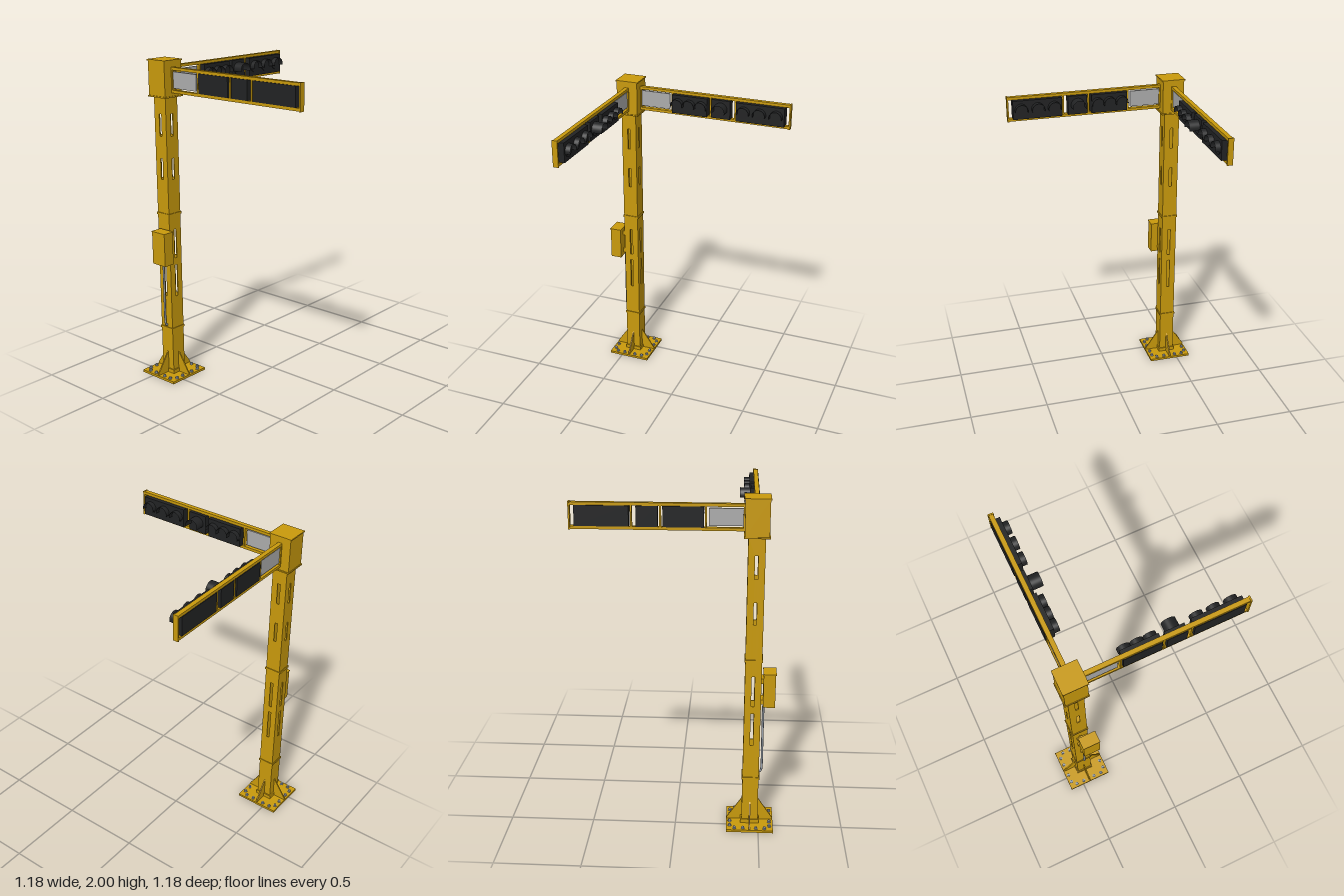
import * as THREE from 'three';

const mat = (name, color, side = THREE.FrontSide) => {
  const m = new THREE.MeshStandardMaterial({ color, side });
  m.name = name;
  return m;
};

export function createModel() {
  const yellow = mat('yellow paint', 0xc99a0c);
  const black = mat('black housing', 0x222324, THREE.DoubleSide);
  const grey = mat('grey panel', 0xacacac);
  const steel = mat('steel', 0x9aa2ac);

  const add = (parent, name, geo, material, x = 0, y = 0, z = 0) => {
    const m = new THREE.Mesh(geo, material);
    m.name = name;
    m.position.set(x, y, z);
    parent.add(m);
    return m;
  };
  const box = (parent, name, material, w, h, d, x, y, z) =>
    add(parent, name, new THREE.BoxGeometry(w, h, d), material, x, y, z);

  const model = new THREE.Group();
  model.name = 'trafficSignalPole';
  // everything is built around the pole axis
  const pole = new THREE.Group();
  pole.name = 'poleAssembly';
  pole.position.set(-0.45, 0, 0.448);
  model.add(pole);

  // base plate and foot collar
  box(pole, 'basePlate', yellow, 0.28, 0.015, 0.28, 0, 0.0075, 0);
  box(pole, 'footCollar', yellow, 0.11, 0.025, 0.11, 0, 0.027, 0);

  // hollow square shaft: four walls with see-through slots
  const wall = new THREE.Shape([[-0.048, 0.015], [0.048, 0.015], [0.048, 1.785], [-0.048, 1.785]]
    .map(p => new THREE.Vector2(...p)));
  for (const [a, b] of [[0.53, 0.735], [0.78, 0.965], [1.28, 1.41], [1.545, 1.68]]) {
    wall.holes.push(new THREE.Path([[-0.009, a], [-0.009, b], [0.009, b], [0.009, a]]
      .map(p => new THREE.Vector2(...p))));
  }
  const wallGeo = new THREE.ExtrudeGeometry(wall, { depth: 0.006, bevelEnabled: false });
  wallGeo.translate(0, 0, 0.042);

  // triangular gusset, running outward along +z after turning
  const gusset = new THREE.Shape([[0.046, 0.015], [0.138, 0.015], [0.138, 0.024], [0.05, 0.155], [0.046, 0.155]]
    .map(p => new THREE.Vector2(...p)));
  const gussetGeo = new THREE.ExtrudeGeometry(gusset, { depth: 0.008, bevelEnabled: false });
  gussetGeo.translate(0, 0, -0.004);
  gussetGeo.rotateY(-Math.PI / 2);

  const washerGeo = new THREE.CylinderGeometry(0.011, 0.011, 0.004, 16);
  const nutGeo = new THREE.CylinderGeometry(0.009, 0.009, 0.01, 6);
  for (let i = 0; i < 4; i++) {
    const side = new THREE.Group();
    side.name = 'poleSide' + (i + 1);
    side.rotation.y = i * Math.PI / 2;
    pole.add(side);
    add(side, 'shaftWall', wallGeo, yellow);
    add(side, 'baseGusset', gussetGeo, yellow);
    for (const u of [-0.09, -0.039, 0.039, 0.09]) {
      add(side, 'boltWasher', washerGeo, steel, u, 0.017, 0.119);
      add(side, 'boltNut', nutGeo, steel, u, 0.022, 0.119);
    }
  }
  for (const y of [0.315, 1.062]) box(pole, 'shaftCollar', yellow, 0.106, 0.014, 0.106, 0, y, 0);

  // head box with overhanging lids
  box(pole, 'headBox', yellow, 0.136, 0.21, 0.136, 0, 1.89, 0);
  for (const y of [1.784, 1.996]) box(pole, 'headLid', yellow, 0.146, 0.008, 0.146, 0, y, 0);

  // control cabinet with brackets
  box(pole, 'cabinet', yellow, 0.106, 0.204, 0.07, 0.036, 0.864, 0.096);
  box(pole, 'cabinetLid', yellow, 0.112, 0.006, 0.076, 0.036, 0.967, 0.097);
  for (const y of [0.8, 0.93]) box(pole, 'cabinetBracket', yellow, 0.07, 0.03, 0.018, 0.01, y, 0.054);

  // cable conduit with a bend into the shaft
  const path = new THREE.CatmullRomCurve3([[0.77, 0.064], [0.6, 0.064], [0.36, 0.064], [0.342, 0.061], [0.336, 0.045]]
    .map(([y, z]) => new THREE.Vector3(0.003, y, z)), false, 'centripetal');
  add(pole, 'conduit', new THREE.TubeGeometry(path, 30, 0.0065, 10), steel);

  // round hood, open at the bottom, pointing along +z
  const hoodGeo = (r, depth) => {
    const g = new THREE.CylinderGeometry(r, r, depth, 24, 1, true, Math.PI / 2 - 0.25, Math.PI + 0.5);
    g.rotateX(Math.PI / 2);
    return g;
  };

  // each signal head: start, end, face depth, hood radius, hood tip, lamp centres
  const heads = [
    { a: 0.292, b: 0.518, face: 0.04, r: 0.038, tip: 0.072, lamps: [0.329, 0.405, 0.481] },
    { a: 0.545, b: 0.665, face: 0.034, r: 0.0425, tip: 0.098, lamps: [0.605] },
    { a: 0.704, b: 1.006, face: 0.04, r: 0.039, tip: 0.072, lamps: [0.753, 0.854, 0.957] },
  ];

  // an arm runs along local +x; lamps look toward local z * dir
  const buildArm = (name, dir) => {
    const arm = new THREE.Group();
    arm.name = name;
    for (const y of [1.816, 1.95]) box(arm, 'armRail', yellow, 0.965, 0.017, 0.027, 0.547, y, 0);
    box(arm, 'armEndCap', yellow, 0.009, 0.156, 0.033, 1.033, 1.883, 0);
    box(arm, 'armRootPlate', yellow, 0.012, 0.15, 0.027, 0.07, 1.883, 0);
    for (const u of [0.281, 0.531, 0.691]) box(arm, 'armPost', yellow, 0.01, 0.12, 0.024, u, 1.883, 0);
    box(arm, 'signPanel', grey, 0.187, 0.098, 0.012, 0.17, 1.883, 0);
    for (const h of heads) {
      const back = -0.017;
      box(arm, 'signalHousing', black, h.b - h.a, 0.116, h.face - back,
        (h.a + h.b) / 2, 1.883, dir * (h.face + back) / 2);
      for (const u of h.lamps) {
        add(arm, 'lampHood', hoodGeo(h.r, h.tip - h.face), black, u, 1.883, dir * (h.face + h.tip) / 2);
        const lens = add(arm, 'lampLens', new THREE.CylinderGeometry(h.r * 0.92, h.r * 0.92, 0.006, 24),
          black, u, 1.883, dir * (h.face + 0.002));
        lens.rotation.x = Math.PI / 2;
      }
    }
    pole.add(arm);
    return arm;
  };
  buildArm('sideArm', -1);
  buildArm('rearArm', 1).rotation.y = Math.PI / 2;

  return model;
}
